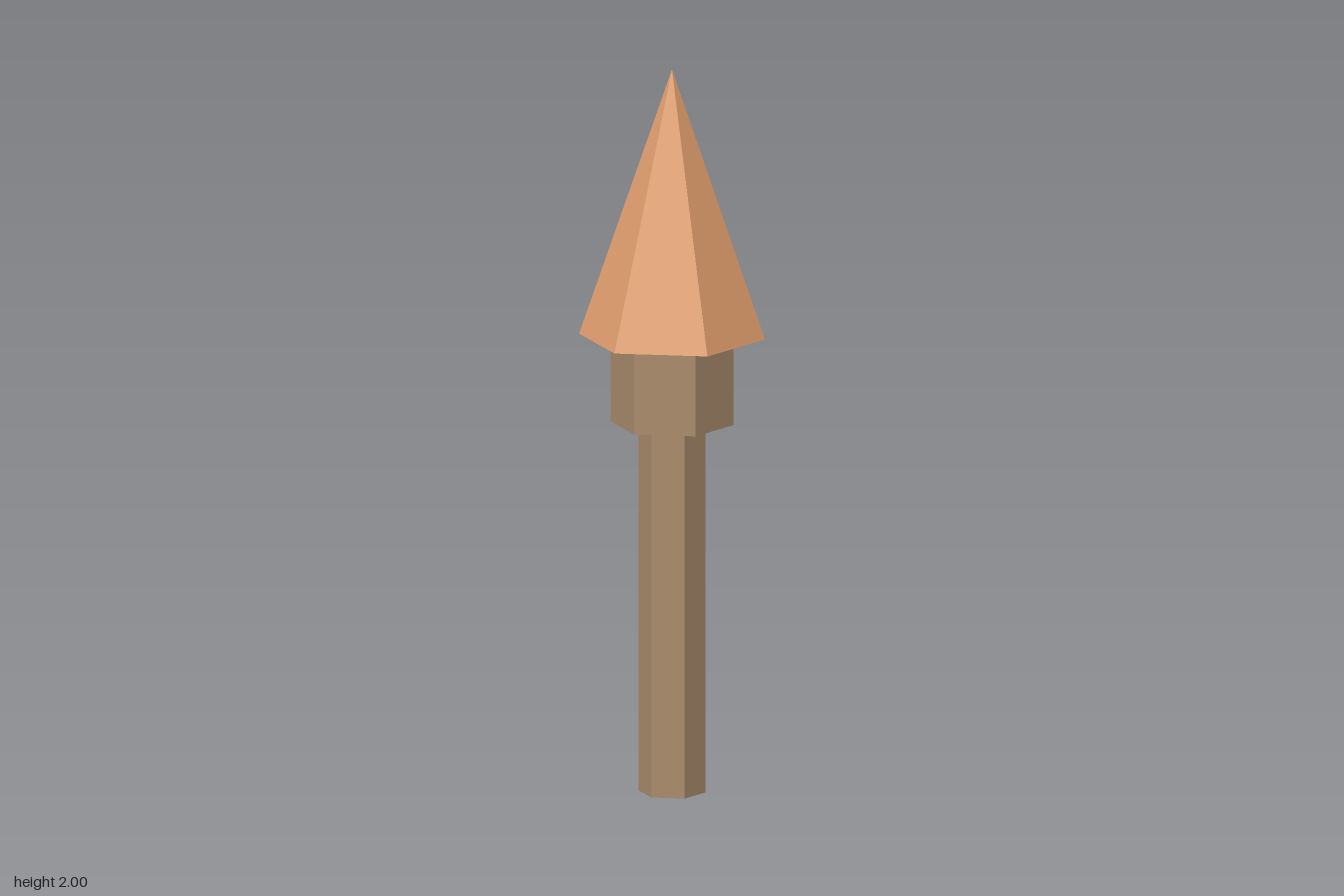
import * as THREE from 'three';

export function createModel() {
  const model = new THREE.Group();
  const tipColor = new THREE.MeshStandardMaterial({ color: 0xe29e6d, flatShading: true });
  tipColor.name = 'light copper';
  const shaftColor = new THREE.MeshStandardMaterial({ color: 0xaa8c6c, flatShading: true });
  shaftColor.name = 'dull brown';

  // Hexagonal section between two heights, with a corner facing the front
  function hexPart(name, topRadius, bottomRadius, y0, y1, material) {
    const geometry = topRadius === 0
      ? new THREE.ConeGeometry(bottomRadius, y1 - y0, 6)
      : new THREE.CylinderGeometry(topRadius, bottomRadius, y1 - y0, 6);
    const mesh = new THREE.Mesh(geometry, material);
    mesh.name = name;
    mesh.position.y = (y0 + y1) / 2;
    model.add(mesh);
  }

  hexPart('shaft', 0.091, 0.091, 0, 1.02, shaftColor);
  hexPart('collar', 0.167, 0.167, 1.02, 1.26, shaftColor);
  hexPart('tip', 0, 0.253, 1.26, 2, tipColor);

  return model;
}
